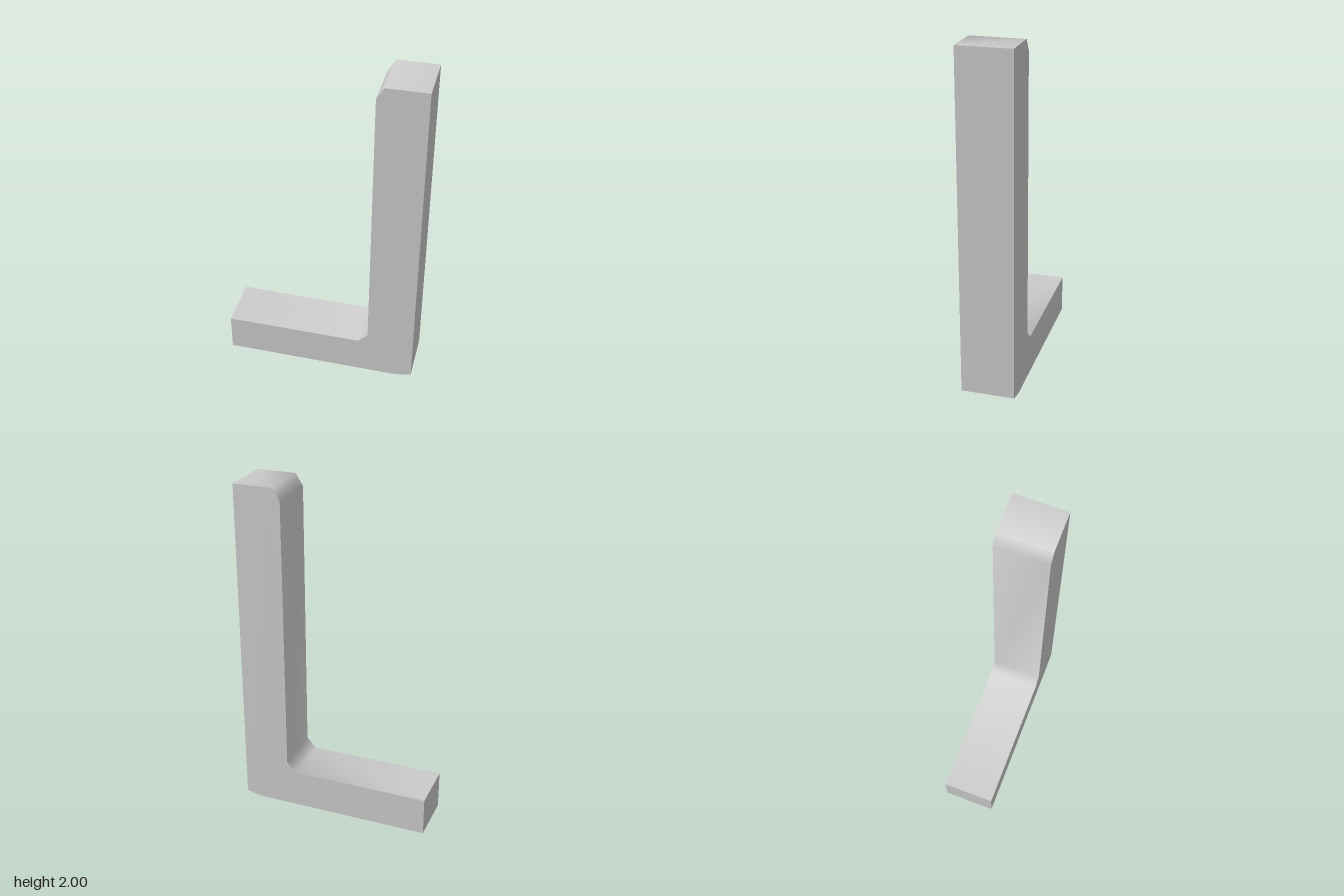
import * as THREE from 'three';
import { toCreasedNormals } from 'three/addons/utils/BufferGeometryUtils.js';

export function createModel() {
  const group = new THREE.Group();
  group.name = 'angleBracket';
  const depth = 0.31;

  // L-shaped side profile: foot, chamfered heel, upright and inner fillet
  const profile = new THREE.Shape([
    [-0.575, 0], [0.48, 0], [0.575, 0.02], [0.575, 2],
    [0.34, 2], [0.297, 1.93], [0.297, 0.29], [0.24, 0.23], [-0.575, 0.23],
  ].map(([x, y]) => new THREE.Vector2(x, y)));

  const geometry = new THREE.ExtrudeGeometry(profile, { depth, bevelEnabled: false });
  geometry.translate(0, 0, -depth / 2);

  // Chamfers shade smoothly, square corners stay sharp
  const bracket = new THREE.Mesh(
    toCreasedNormals(geometry, THREE.MathUtils.degToRad(65)),
    new THREE.MeshStandardMaterial({ color: 0xcccccc }),
  );
  bracket.name = 'bracket';
  group.add(bracket);
  return group;
}
